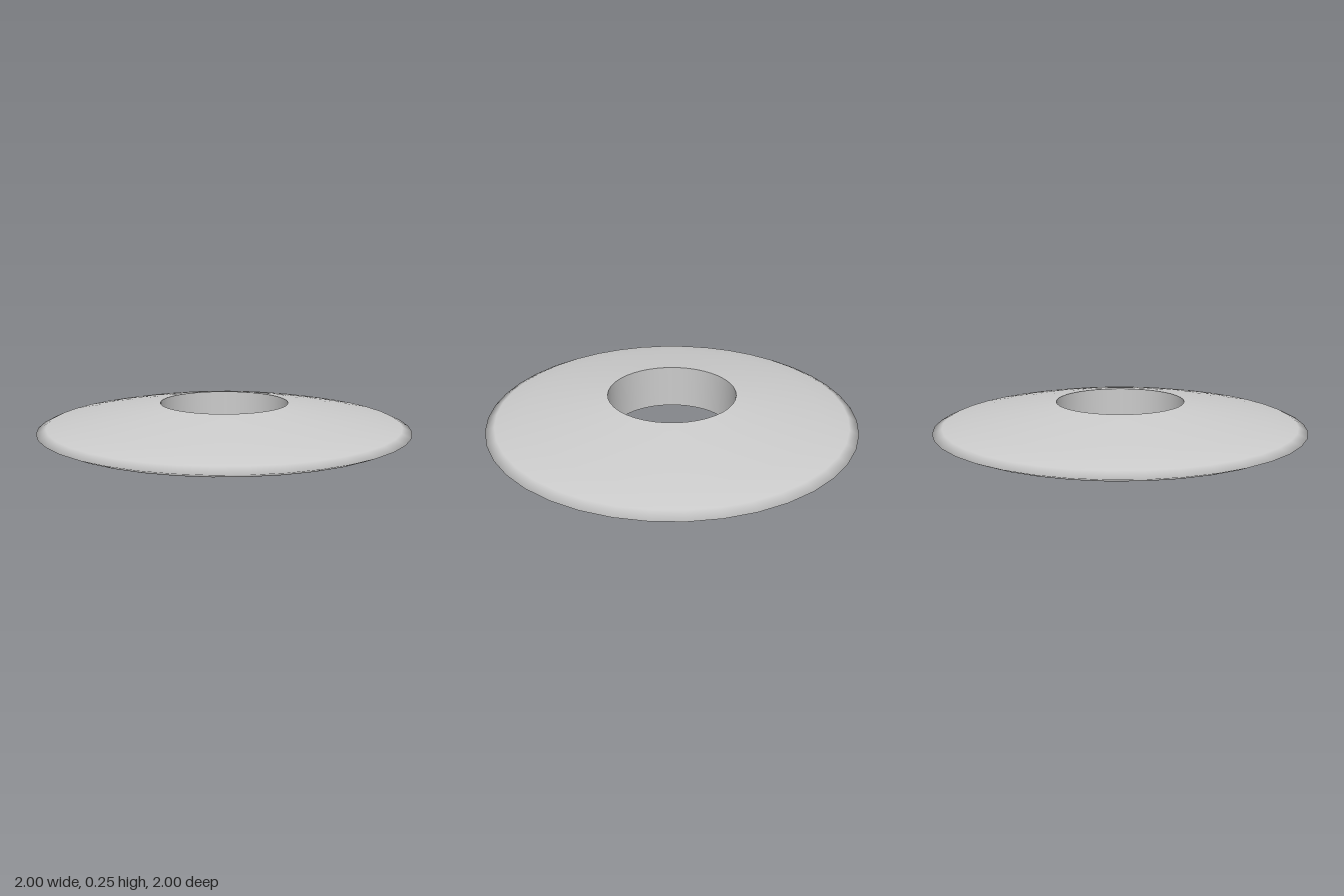
import * as THREE from 'three';

const SEGMENTS = 40;
const HOLE = 0.348;
const MID = 0.123; // half of the thickness at the hole

export function createModel() {
  const group = new THREE.Group();
  group.name = 'taperedRing';
  const material = new THREE.MeshStandardMaterial({ color: 0xcccccc });

  const addLathe = (name, points) => {
    const geometry = new THREE.LatheGeometry(
      points.map(([r, y]) => new THREE.Vector2(r, MID + y)), SEGMENTS);
    const mesh = new THREE.Mesh(geometry, material);
    mesh.name = name;
    group.add(mesh);
  };

  // Gently domed face from hole to rim: radius, height above the middle
  const face = [[HOLE, MID], [0.5, 0.102], [0.65, 0.079], [0.8, 0.053], [0.95, 0.023]];
  const underside = face.map(([r, y]) => [r, -y]);

  // Both faces in one smooth skin, meeting at the thin rim
  addLathe('ringBody', [...underside, [1, 0], ...face.slice().reverse()]);

  // Straight wall of the hole, facing inward with sharp edges
  addLathe('holeWall', [[HOLE, MID], [HOLE, -MID]]);

  return group;
}
